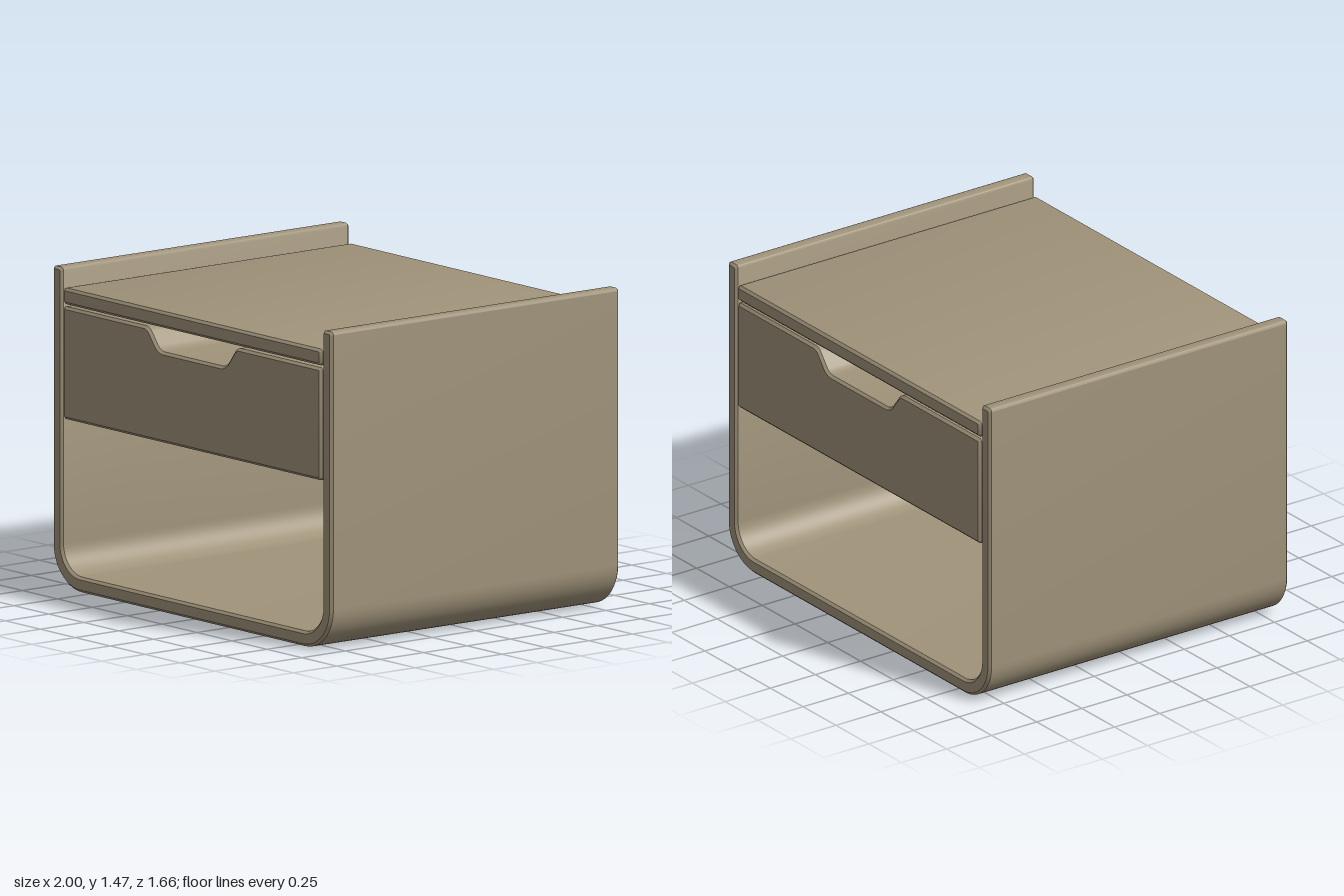
import * as THREE from 'three';
import { toCreasedNormals } from 'three/addons/utils/BufferGeometryUtils.js';

const DEPTH = 1.66;
const BEVEL = 0.012;

// Outline through [x, y, cornerLength] points, each corner rounded
function roundedShape(points) {
  const shape = new THREE.Shape();
  const n = points.length;
  points.forEach(([x, y, r], i) => {
    const corner = new THREE.Vector2(x, y);
    const toward = (q) => new THREE.Vector2(q[0] - x, q[1] - y).normalize();
    const a = toward(points[(i + n - 1) % n]);
    const b = toward(points[(i + 1) % n]);
    const at = (dir, d) => corner.clone().addScaledVector(dir, d);
    const start = at(a, r), c1 = at(a, r * 0.448), c2 = at(b, r * 0.448), end = at(b, r);
    if (i === 0) shape.moveTo(start.x, start.y);
    else shape.lineTo(start.x, start.y);
    shape.bezierCurveTo(c1.x, c1.y, c2.x, c2.y, end.x, end.y);
  });
  shape.closePath();
  return shape;
}

// Extrude an outline along z with softened front and back edges
function slab(name, points, material, curveSegments) {
  const geometry = new THREE.ExtrudeGeometry(roundedShape(points), {
    depth: DEPTH - 2 * BEVEL,
    bevelEnabled: true,
    bevelThickness: BEVEL,
    bevelSize: BEVEL,
    bevelOffset: -BEVEL,
    bevelSegments: 1,
    curveSegments,
  });
  geometry.translate(0, 0, -DEPTH / 2 + BEVEL);
  const mesh = new THREE.Mesh(toCreasedNormals(geometry, 0.55), material);
  mesh.name = name;
  return mesh;
}

export function createModel() {
  const group = new THREE.Group();
  group.name = 'bedsideTable';
  const wood = new THREE.MeshStandardMaterial({ color: 0xa0937a });
  wood.name = 'taupe';

  // U-shaped shell: floor and both sides in one bent panel
  const top = 1.465, inner = 0.933, floor = 0.07, e = 0.015;
  group.add(slab('shell', [
    [-1, 0, 0.2], [1, 0, 0.2], [1, top, e], [inner, top, e],
    [inner, floor, 0.135], [-inner, floor, 0.135], [-inner, top, e], [-1, top, e],
  ], wood, 14));

  // Table top between the sides
  const w = 0.925;
  group.add(slab('tableTop', [
    [-w, 1.3, e], [w, 1.3, e], [w, 1.375, e], [-w, 1.375, e],
  ], wood, 4));

  // Drawer block with a sloped finger notch in its upper edge
  group.add(slab('drawer', [
    [-w, 0.775, e], [w, 0.775, e], [w, 1.29, e], [0.315, 1.29, 0.025],
    [0.237, 1.19, 0.03], [-0.237, 1.19, 0.03], [-0.315, 1.29, 0.025], [-w, 1.29, e],
  ], wood, 5));

  return group;
}
